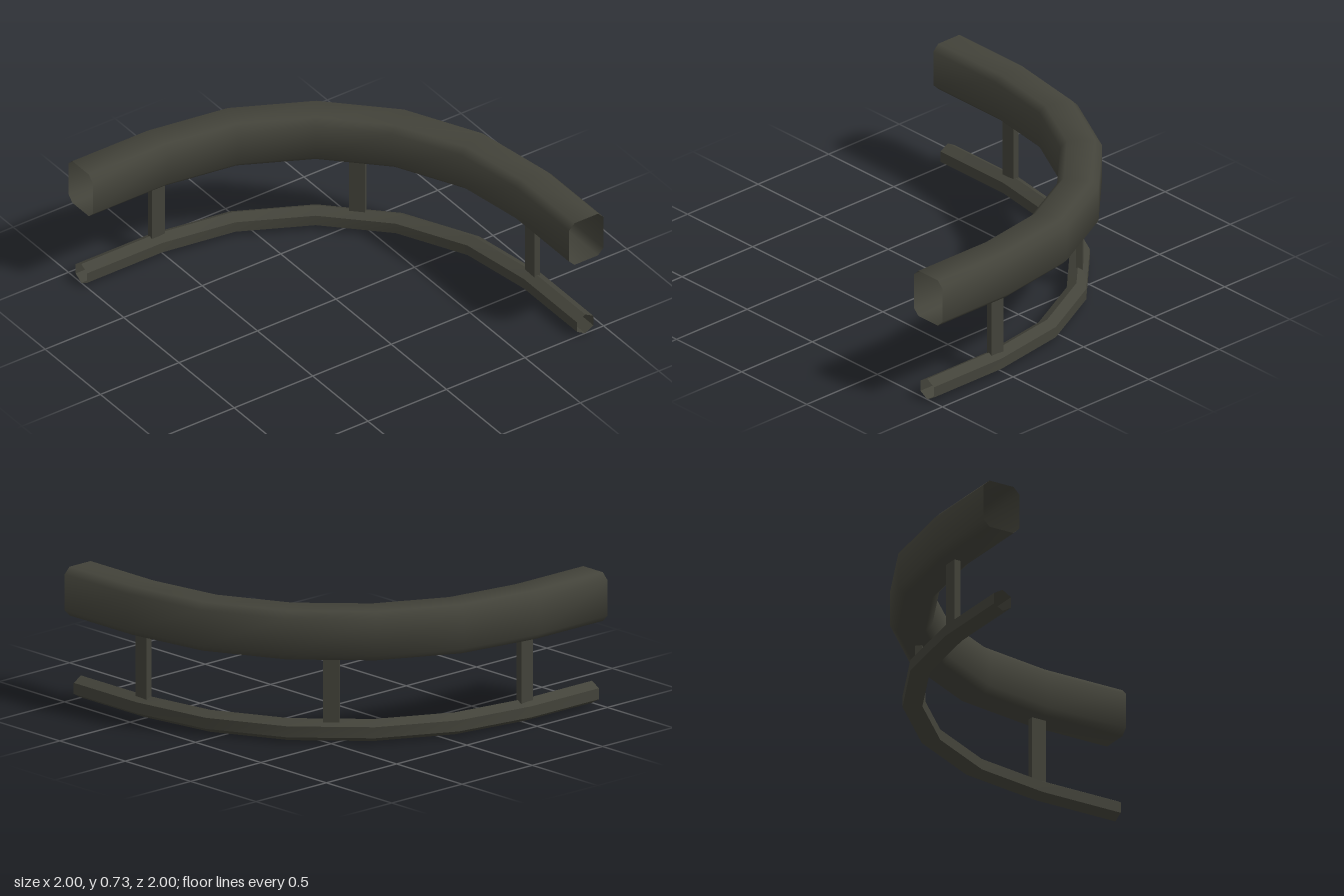
import * as THREE from 'three';
import { toCreasedNormals } from 'three/addons/utils/BufferGeometryUtils.js';

const ARC = 0.52;      // the bend is centred on (-ARC, ARC) in x, z
const STEPS = 5;       // straight chords in the quarter turn

// Sweeps an open-ended profile of [outward, height] points along the quarter bend
function sweepRail(profile, radius) {
  const stations = [[-1, ARC - radius, 0]];
  for (let i = 0; i <= STEPS; i++) {
    const a = (i / STEPS) * Math.PI / 2;
    stations.push([-ARC + radius * Math.sin(a), ARC - radius * Math.cos(a), a]);
  }
  stations.push([radius - ARC, 1, Math.PI / 2]);

  const positions = [], index = [], n = profile.length;
  for (const [x, z, a] of stations) {
    for (const [u, v] of profile) positions.push(x + u * Math.sin(a), v, z - u * Math.cos(a));
  }
  for (let i = 0; i < stations.length - 1; i++) {
    for (let j = 0; j < n; j++) {
      const a = i * n + j, b = i * n + (j + 1) % n;
      index.push(a, b, a + n, b, b + n, a + n);
    }
  }
  const geometry = new THREE.BufferGeometry();
  geometry.setAttribute('position', new THREE.Float32BufferAttribute(positions, 3));
  geometry.setIndex(index);
  return toCreasedNormals(geometry, 0.9);
}

export function createModel() {
  const group = new THREE.Group();
  const metal = new THREE.MeshStandardMaterial({ color: 0x43433a, side: THREE.DoubleSide });
  metal.name = 'dark olive metal';
  const add = (name, geometry) => {
    const mesh = new THREE.Mesh(geometry, metal);
    mesh.name = name;
    group.add(mesh);
    return mesh;
  };

  // Upper rail: hollow chamfered box section
  const w = 0.11, low = 0.465, high = 0.73, c = 0.035;
  add('upperRail', sweepRail([
    [w, low + c], [w, high - c], [w - c, high], [c - w, high],
    [-w, high - c], [-w, low + c], [c - w, low], [w - c, low],
  ], 1.41));

  // Lower rail: hollow hexagonal tube
  const hexagon = [];
  for (let i = 0; i < 6; i++) {
    const a = (i - 0.5) * Math.PI / 3;
    hexagon.push([0.06 * Math.cos(a), 0.062 + 0.06 * Math.sin(a)]);
  }
  add('lowerRail', sweepRail(hexagon, 1.403));

  // Flat posts joining the rails, turned to follow the bend
  const posts = [['rightPost', 0, 1.405], ['middlePost', Math.PI / 4, 1.393], ['leftPost', Math.PI / 2, 1.405]];
  for (const [name, a, r] of posts) {
    const post = add(name, new THREE.BoxGeometry(0.085, 0.39, 0.036));
    post.position.set(-ARC + r * Math.sin(a), 0.285, ARC - r * Math.cos(a));
    post.rotation.y = -a;
  }
  return group;
}
